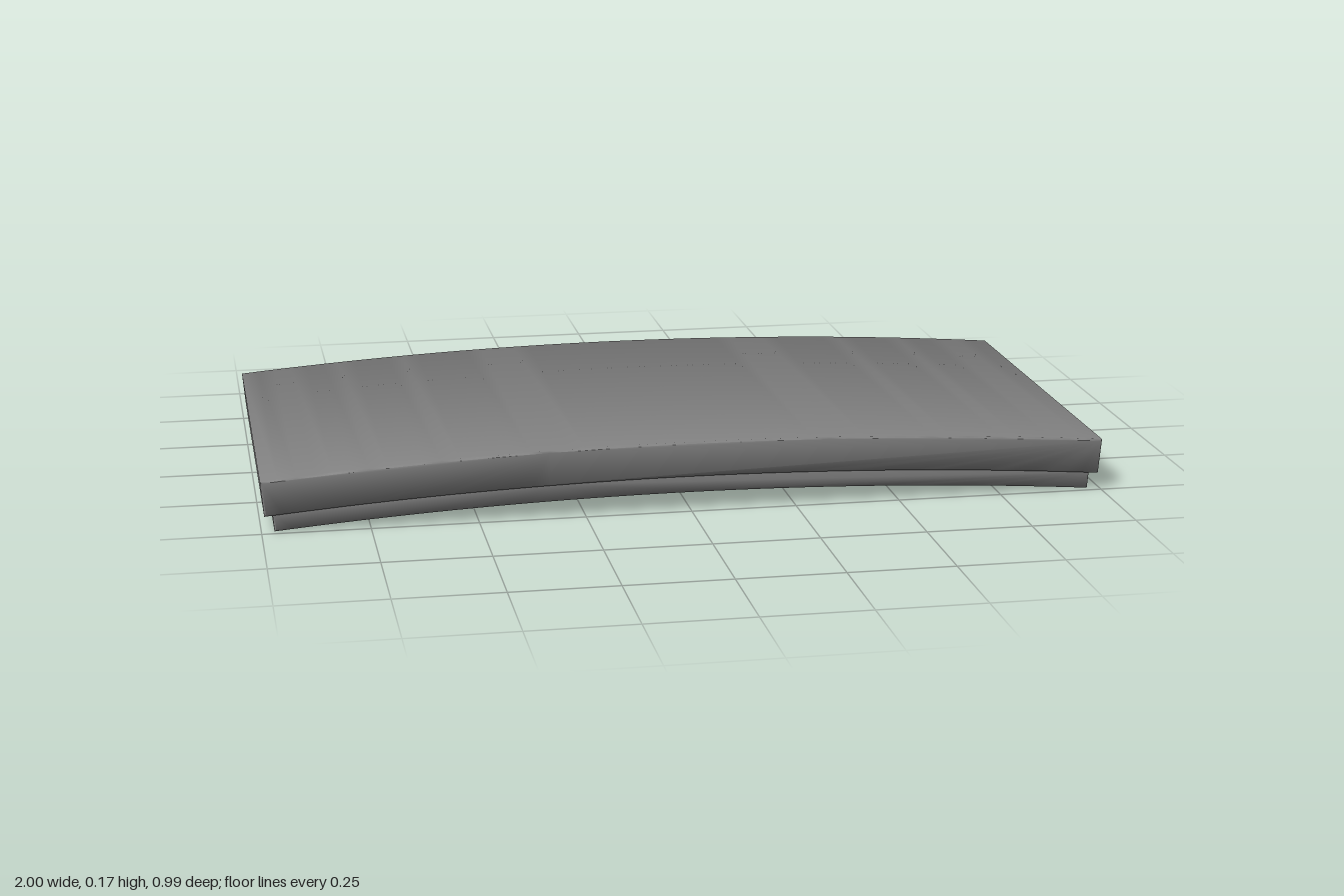
import * as THREE from 'three';
import { toCreasedNormals } from 'three/addons/utils/BufferGeometryUtils.js';

const OUTER = 11.4;             // radius of the arched top surface
const CENTRE_Y = 0.167 - OUTER; // height of the shared arc centre
const BEVEL = 0.004;

// A slab bent along x between two depths below the top arc, with radial ends
// and softly shaded front and back edges
function archedSlab(name, top, bottom, halfAngle, halfDepth, material) {
  const mid = Math.PI / 2;
  const shape = new THREE.Shape();
  shape.absarc(0, CENTRE_Y, OUTER - top, mid - halfAngle, mid + halfAngle, false);
  shape.absarc(0, CENTRE_Y, OUTER - bottom, mid + halfAngle, mid - halfAngle, true);
  shape.closePath();
  const geometry = new THREE.ExtrudeGeometry(shape, {
    depth: 2 * (halfDepth - BEVEL),
    curveSegments: 24,
    bevelEnabled: true,
    bevelThickness: BEVEL,
    bevelSize: BEVEL,
    bevelOffset: -BEVEL,
    bevelSegments: 1,
  });
  geometry.translate(0, 0, -(halfDepth - BEVEL));
  const mesh = new THREE.Mesh(toCreasedNormals(geometry, 0.9), material);
  mesh.name = name;
  return mesh;
}

export function createModel() {
  const group = new THREE.Group();
  group.name = 'archedPanel';
  const material = new THREE.MeshStandardMaterial({ color: 0x808080 });

  // Wide upper slab, with a slightly inset slab under it
  group.add(archedSlab('upperSlab', 0, 0.084, Math.asin(1 / OUTER), 0.496, material));
  group.add(archedSlab('lowerSlab', 0.08, 0.125, Math.asin(0.97 / (OUTER - 0.125)), 0.486, material));
  return group;
}
